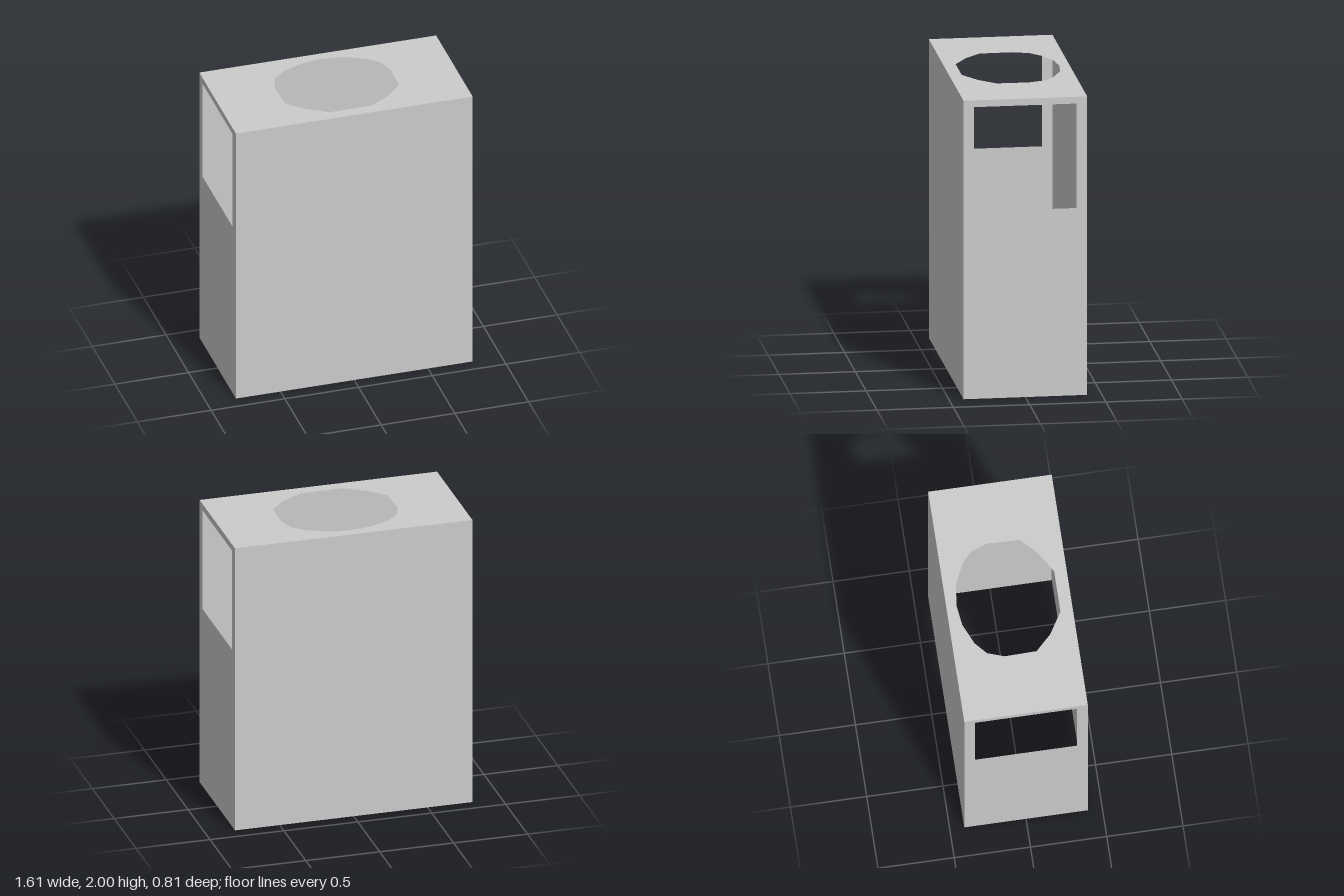
import * as THREE from 'three';

const W = 0.803, D = 0.405, H = 2;

// Flat panel from an outline, with an optional opening
function panel(name, outline, opening) {
  const toPoints = (list) => list.map(([x, y]) => new THREE.Vector2(x, y));
  const shape = new THREE.Shape(toPoints(outline));
  if (opening) shape.holes.push(new THREE.Path(toPoints(opening)));
  const material = new THREE.MeshStandardMaterial({
    color: 0xcccccc, flatShading: true, side: THREE.DoubleSide,
  });
  const mesh = new THREE.Mesh(new THREE.ShapeGeometry(shape), material);
  mesh.name = name;
  return mesh;
}

const rect = (x0, y0, x1, y1) => [[x0, y0], [x1, y0], [x1, y1], [x0, y1]];

export function createModel() {
  const group = new THREE.Group();
  group.name = 'openBottomBox';

  // Plain front and back walls
  for (const s of [1, -1]) {
    const wall = panel(s > 0 ? 'frontWall' : 'backWall', rect(-W, 0, W, H));
    wall.position.z = s * D;
    if (s < 0) wall.rotation.y = Math.PI;
    group.add(wall);
  }

  // Side walls, each with a rectangular window near the top
  for (const s of [1, -1]) {
    const wall = panel(
      s > 0 ? 'leftWall' : 'rightWall',
      rect(-D, 0, D, H),
      rect(-0.335, 1.255, 0.335, 1.955),
    );
    wall.position.x = s * W;
    wall.rotation.y = s * Math.PI / 2;
    group.add(wall);
  }

  // Top with a faceted, roughly oval opening (shape y points to the back)
  const half = [[0.14, 0.32], [0.275, 0.26], [0.355, 0.19], [0.393, 0.08],
    [0.388, -0.13], [0.285, -0.235], [0.14, -0.323]];
  const mirrored = half.map(([x, y]) => [-x, y]).reverse();
  const top = panel('top', rect(-W, -D, W, D), [[0, 0.338], ...half, ...mirrored]);
  top.rotation.x = -Math.PI / 2;
  top.position.y = H;
  group.add(top);

  return group;
}
